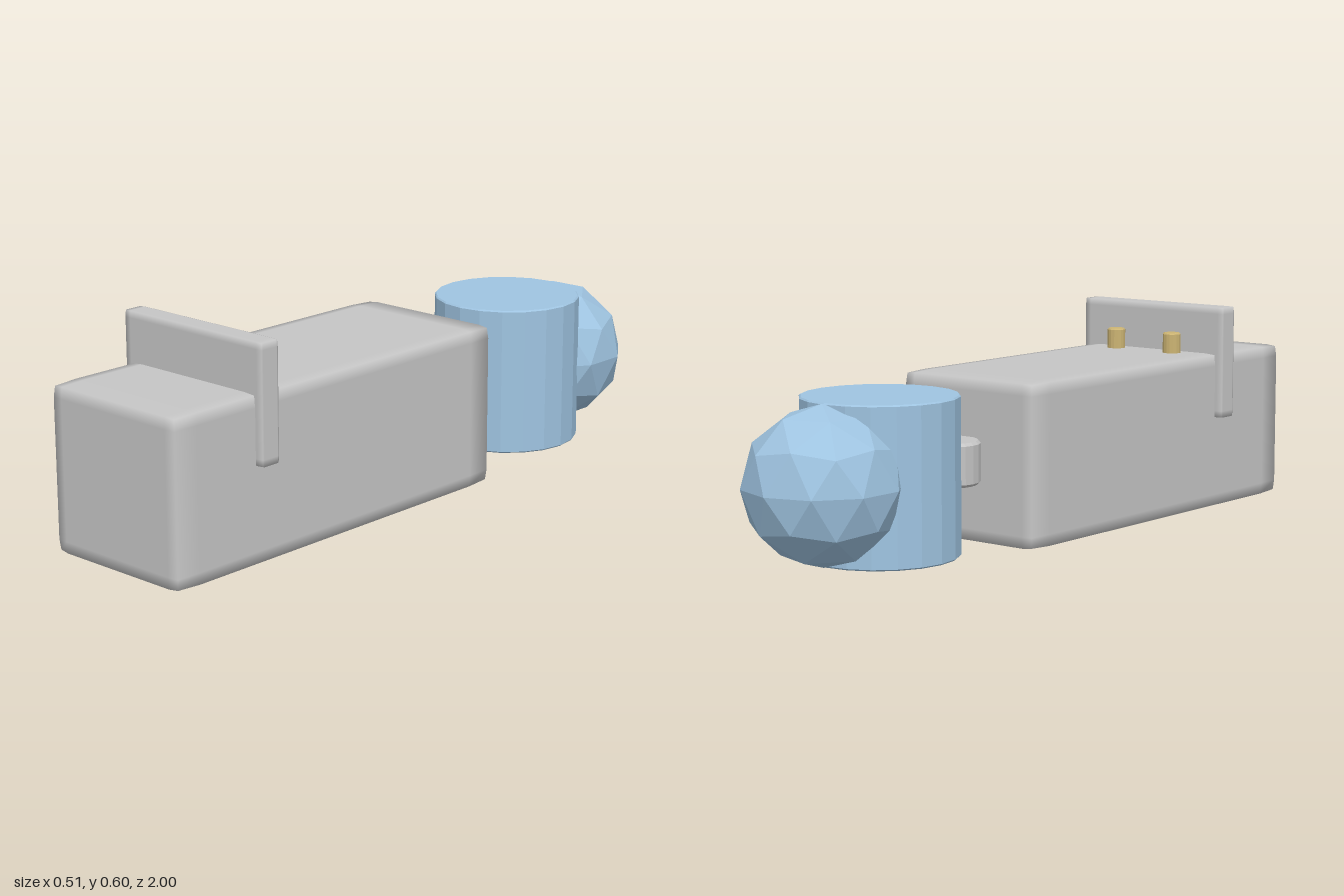
import * as THREE from 'three';

const grey = new THREE.MeshStandardMaterial({ name: 'light grey', color: 0xc6c6c6 });
const blue = new THREE.MeshStandardMaterial({ name: 'soft blue', color: 0x9fc4e1 });
const gold = new THREE.MeshStandardMaterial({ name: 'brass', color: 0xccb473 });

function add(group, name, geometry, material, x, y, z) {
  const mesh = new THREE.Mesh(geometry, material);
  mesh.name = name;
  mesh.position.set(x, y, z);
  group.add(mesh);
}

// Box with slightly drawn-in edges and softly blended normals along a border strip
function softBox(w, h, d, border, pull) {
  const geo = new THREE.BoxGeometry(2, 2, 2, 3, 3, 3);
  const pos = geo.attributes.position, nor = geo.attributes.normal;
  const half = [w / 2, h / 2, d / 2];
  for (let i = 0; i < pos.count; i++) {
    const p = [pos.getX(i), pos.getY(i), pos.getZ(i)];
    const outer = p.map(v => (Math.abs(v) > 0.9 ? Math.sign(v) : 0));
    const count = outer.filter(v => v !== 0).length;
    const q = p.map((v, k) => outer[k]
      ? outer[k] * (half[k] - pull * (count - 1))
      : Math.sign(v) * (half[k] - border[k]));
    pos.setXYZ(i, ...q);
    const n = new THREE.Vector3(...outer).normalize();
    nor.setXYZ(i, n.x, n.y, n.z);
  }
  return geo;
}

// Faceted upright cylinder with a small chamfer on both rims
function drum(radius, height, chamfer, sides) {
  const h = height / 2, r = radius;
  const profile = [[0, -h], [r - chamfer, -h], [r, -h + chamfer], [r, h - chamfer], [r - chamfer, h], [0, h]]
    .map(([x, y]) => new THREE.Vector2(x, y));
  const geo = new THREE.LatheGeometry(profile, sides).toNonIndexed();
  geo.computeVertexNormals();
  return geo;
}

export function createModel() {
  const model = new THREE.Group();
  model.name = 'model';

  // Long body and the upright plate straddling it
  add(model, 'body', softBox(0.46, 0.46, 1.21, [0.036, 0.036, 0.08], 0.003), grey, 0, 0.23, 0.395);
  add(model, 'crossPlate', softBox(0.512, 0.33, 0.06, [0.02, 0.02, 0.006], 0.001), grey, 0, 0.435, 0.69);

  // Pair of pins behind the plate
  for (const side of [-1, 1]) {
    add(model, side > 0 ? 'leftPin' : 'rightPin', drum(0.027, 0.1, 0.004, 16), gold, side * 0.103, 0.47, 0.615);
  }

  // Connector and rear drum
  add(model, 'connector', drum(0.088, 0.122, 0.008, 20), grey, 0, 0.234, -0.287);
  add(model, 'rearDrum', drum(0.215, 0.432, 0.004, 20), blue, 0, 0.234, -0.565);

  // Faceted ball, turned so that one vertex points straight up
  const ball = new THREE.IcosahedronGeometry(0.215, 1);
  ball.rotateX(-Math.atan((1 + Math.sqrt(5)) / 2));
  ball.rotateY(Math.PI / 2);
  ball.computeVertexNormals();
  add(model, 'rearBall', ball, blue, 0, 0.234, -0.785);

  return model;
}
